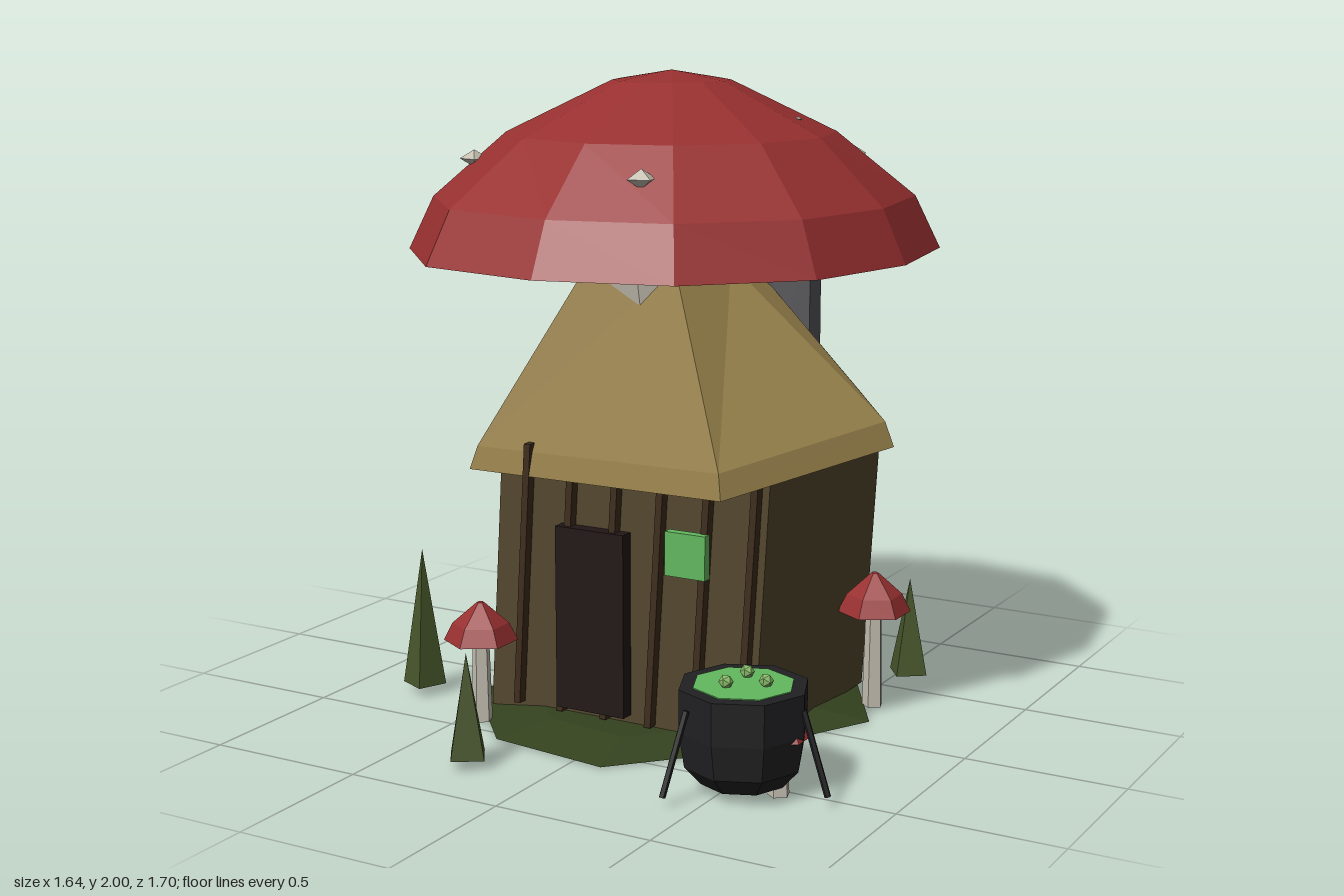
import * as THREE from 'three';

const COLORS = {
  cap: 0x983030, gills: 0x4f9c50, stem: 0xc4beb0, thatch: 0x957f4a, wall: 0x54472f,
  plank: 0x3e2d1c, door: 0x221717, glow: 0x62b85e, stone: 0x56565a, tree: 0x46552a,
  ground: 0x34421f, iron: 0x212123, bubble: 0x86b866,
};
const mats = {};
const mat = (key) => (mats[key] ??= new THREE.MeshStandardMaterial({ color: COLORS[key], flatShading: true }));

function add(parent, name, geometry, key, x = 0, y = 0, z = 0) {
  const mesh = new THREE.Mesh(geometry, mat(key));
  mesh.name = name;
  mesh.position.set(x, y, z);
  parent.add(mesh);
  return mesh;
}

const lathe = (pts, sides) =>
  new THREE.LatheGeometry(pts.map(([r, y]) => new THREE.Vector2(r, y)), sides);

// Moves every vertex of a geometry by a rule
function reshape(geo, rule) {
  const p = geo.attributes.position;
  const v = new THREE.Vector3();
  for (let i = 0; i < p.count; i++) {
    rule(v.fromBufferAttribute(p, i));
    p.setXYZ(i, v.x, v.y, v.z);
  }
  geo.computeVertexNormals();
  return geo;
}

// Closed skin through rings of points, both ends filled
function loft(rings) {
  const n = rings[0].length, index = [];
  for (let k = 0; k < rings.length - 1; k++) {
    for (let i = 0; i < n; i++) {
      const a = k * n + i, b = k * n + (i + 1) % n;
      index.push(b, a, a + n, b, a + n, b + n);
    }
  }
  const top = (rings.length - 1) * n;
  for (let i = 1; i < n - 1; i++) {
    index.push(0, i, i + 1, top, top + i + 1, top + i);
  }
  const geo = new THREE.BufferGeometry();
  geo.setAttribute('position', new THREE.Float32BufferAttribute(rings.flat(2), 3));
  geo.setIndex(index);
  geo.computeVertexNormals();
  return geo;
}

// Rod between two points
function rod(parent, name, from, to, radius, key) {
  const a = new THREE.Vector3(...from), b = new THREE.Vector3(...to);
  const mesh = add(parent, name, new THREE.CylinderGeometry(radius, radius, a.distanceTo(b), 5), key);
  mesh.position.copy(a).lerp(b, 0.5);
  mesh.quaternion.setFromUnitVectors(new THREE.Vector3(0, 1, 0), b.sub(a).normalize());
}

function smallMushroom(x, z, base, top, r) {
  const g = new THREE.Group();
  g.name = 'smallMushroom';
  const h = top - base;
  add(g, 'smallStem', new THREE.CylinderGeometry(0.026, 0.034, base + 0.02, 5), 'stem', 0, base / 2 + 0.01, 0);
  add(g, 'smallCap', lathe([[0, 0], [r, 0], [0.76 * r, 0.45 * h], [0.1 * r, h], [0, h]], 6), 'cap', 0, base, 0);
  g.position.set(x, 0, z);
  return g;
}

function giantMushroom() {
  const g = new THREE.Group();
  g.name = 'giantMushroom';
  // Domed cap with a slightly uneven rim
  const rim = [0.787, 0.792, 0.79, 0.777, 0.82, 0.82, 0.77, 0.78, 0.805, 0.77, 0.8, 0.82];
  const cap = lathe([[0, 1.46], [0.79, 1.46], [0.715, 1.62], [0.5, 1.815], [0.18, 1.97], [0, 2]], 12);
  reshape(cap, (v) => {
    const i = (Math.round(Math.atan2(v.x, v.z) / (Math.PI / 6)) + 12) % 12;
    if (v.y < 1.7) { v.x *= rim[i] / 0.79; v.z *= rim[i] / 0.79; }
  });
  add(g, 'cap', cap, 'cap');
  add(g, 'gills', new THREE.CylinderGeometry(0.53, 0.3, 0.022, 12), 'gills', 0, 1.45, 0);
  add(g, 'stem', new THREE.CylinderGeometry(0.225, 0.15, 0.35, 8), 'stem', 0.01, 1.28, 0.015);

  // Pale spots set into the cap
  const spots = [[0.38, 1.73, -0.475, 1], [-0.385, 1.73, -0.445, 1.1], [-0.51, 1.735, 0.31, 1], [0.215, 1.73, 0.55, 1.1],
    [-0.015, 1.863, -0.39, 0.3], [0.38, 1.86, -0.09, 0.3], [-0.38, 1.86, -0.04, 0.3]];
  for (const [x, y, z, s] of spots) {
    const spot = add(g, 'capSpot', new THREE.OctahedronGeometry(0.044 * s, 0), 'stem', x, y, z);
    spot.scale.y = 0.6;
    spot.rotation.y = x * 5;
  }
  return g;
}

function house() {
  const g = new THREE.Group();
  g.name = 'house';
  const lean = (v) => { v.x += 0.06 * (v.y - 0.4); };
  const eave = (x) => 0.805 + 0.07 * x;

  // Leaning walls that follow the crooked roof
  const walls = new THREE.BoxGeometry(0.93, 0.8, 0.765).translate(0.006, 0.41, -0.0825);
  add(g, 'walls', reshape(walls, (v) => { if (v.y > 0.5) v.y = eave(v.x); lean(v); }), 'wall');

  // Vertical timbers; the first pokes up through the thatch
  for (let i = 0; i < 6; i++) {
    const x = -0.348 + i * 0.157;
    const top = i === 0 ? 0.875 : eave(x) + 0.02;
    const geo = new THREE.BoxGeometry(0.022, top - 0.04, 0.04).translate(x, (top + 0.04) / 2, 0.312);
    add(g, 'timber', reshape(geo, lean), 'plank');
  }
  add(g, 'door', new THREE.BoxGeometry(0.24, 0.575, 0.06), 'door', -0.093, 0.347, 0.315);
  add(g, 'window', new THREE.BoxGeometry(0.135, 0.135, 0.03), 'glow', 0.245, 0.603, 0.34);

  // Crooked thatch: bottom of the eave, its steep upper edge, then the neck
  const bottom = [[0.725, 0.905, -0.06], [0.45, 0.828, 0.515], [-0.575, 0.755, 0.27],
    [-0.655, 0.78, -0.36], [-0.17, 0.81, -0.7], [0.35, 0.862, -0.68]];
  const edge = bottom.map(([x, y, z]) => [x * 0.96, y + 0.075, z * 0.96]);
  const neck = [[0.19, 1.42, -0.03], [0.12, 1.43, 0.19], [-0.2, 1.45, 0.12],
    [-0.26, 1.45, -0.1], [-0.1, 1.44, -0.23], [0.13, 1.43, -0.22]];
  add(g, 'thatchRoof', loft([bottom, edge, neck]), 'thatch');

  const chimney = add(g, 'chimney', new THREE.BoxGeometry(0.135, 0.4, 0.135), 'stone', 0.29, 1.26, -0.26);
  chimney.rotation.y = 0.2;
  return g;
}

function cauldron() {
  const g = new THREE.Group();
  g.name = 'cauldron';
  add(g, 'pot', lathe([[0, 0.03], [0.125, 0.03], [0.175, 0.085], [0.192, 0.19], [0.192, 0.316], [0, 0.316]], 8), 'iron');
  add(g, 'brew', new THREE.CylinderGeometry(0.15, 0.15, 0.006, 8), 'glow', 0, 0.316, 0);
  for (const [x, z] of [[0.065, -0.013], [-0.03, 0.05], [-0.02, -0.06]]) {
    add(g, 'bubble', new THREE.IcosahedronGeometry(0.022, 0), 'bubble', x, 0.333, z);
  }
  for (let i = 0; i < 3; i++) {
    const a = (i * Math.PI * 2) / 3, c = Math.cos(a), s = Math.sin(a);
    rod(g, 'leg', [0.19 * c, 0.27, 0.19 * s], [0.268 * c, 0.03, 0.268 * s], 0.01, 'iron');
  }
  g.position.set(0.545, 0, 0.548);
  return g;
}

export function createModel() {
  const model = new THREE.Group();
  model.name = 'mushroomCottage';

  // Uneven patch of ground, with the footing under it
  const patch = [[0.62, -0.15], [0.38, 0.3], [0.1, 0.6], [-0.3, 0.55], [-0.61, 0.2],
    [-0.45, -0.32], [-0.1, -0.56], [0.4, -0.52]];
  const groundRing = (s, y) => patch.map(([x, z]) => [x * s, y, z * s]);
  add(model, 'ground', loft([groundRing(1, 0.002), groundRing(0.7, 0.034)]), 'ground');
  add(model, 'footing', new THREE.CylinderGeometry(0.27, 0.27, 0.02, 8), 'stone', 0, 0.01, 0);
  model.add(giantMushroom(), house(), cauldron());

  // Pointed trees: x, z, height
  for (const [x, z, h] of [[-0.755, 0.285, 0.445], [-0.1, -0.785, 0.445], [-0.69, -0.415, 0.315],
    [0.56, -0.585, 0.315], [-0.25, 0.775, 0.315]]) {
    const tree = add(model, 'tree', new THREE.ConeGeometry(0.07, h, 4), 'tree', x, 0.03 + h / 2, z);
    tree.rotation.y = x * 2 + 0.3;
  }

  model.add(
    smallMushroom(-0.44, 0.42, 0.26, 0.38, 0.115),
    smallMushroom(-0.475, -0.65, 0.21, 0.33, 0.085),
    smallMushroom(0.56, -0.305, 0.31, 0.435, 0.115),
    smallMushroom(0.65, 0.53, 0.18, 0.25, 0.1),
  );
  return model;
}
